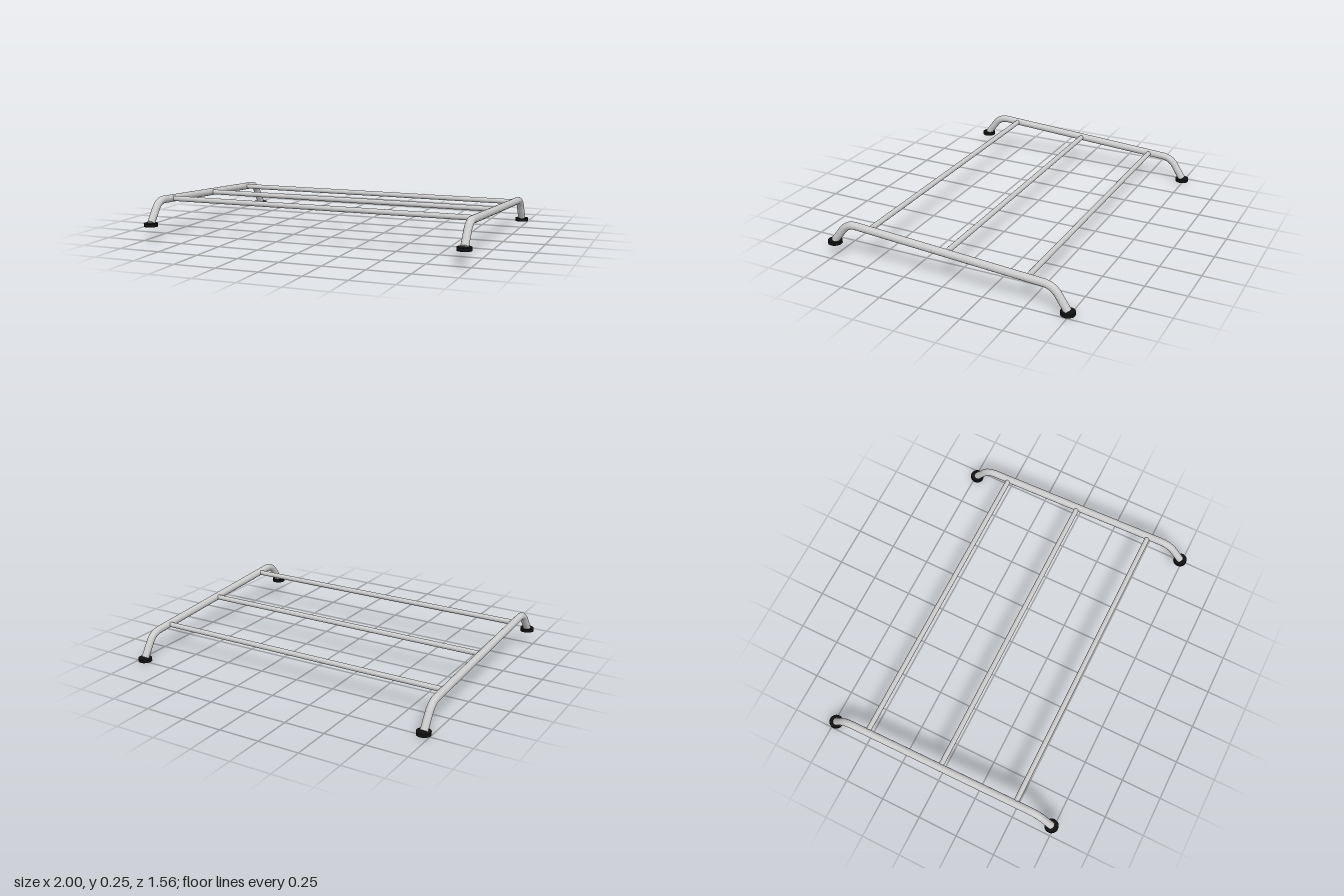
import * as THREE from 'three';

const RAIL_X = 0.958, RAIL_R = 0.0228, BAR_R = 0.016;
const FOOT_R = 0.042, FOOT_H = 0.02, FOOT_Z = 0.738;

// Side rail centre line: end, corner, corner, end (x = 0 plane)
const point = (y, z) => new THREE.Vector3(0, y, z);
const frontEnd = point(0.107, 0.736), frontCorner = point(0.23, 0.642);
const backCorner = point(0.153, -0.65), backEnd = point(0.02, -0.736);

// Points of a circular fillet at corner b, starting and ending t away from it
function fillet(a, b, c, t, steps = 10) {
  const u = a.clone().sub(b).normalize(), v = c.clone().sub(b).normalize();
  const half = u.angleTo(v) / 2;
  const radius = t * Math.tan(half), sweep = Math.PI / 2 - half;
  const axis = u.clone().add(v).normalize();
  const side = v.clone().sub(u).normalize();
  const centre = b.clone().addScaledVector(axis, t / Math.cos(half));
  return Array.from({ length: steps + 1 }, (_, i) => {
    const angle = sweep * (2 * i / steps - 1);
    return centre.clone()
      .addScaledVector(axis, -radius * Math.cos(angle))
      .addScaledVector(side, radius * Math.sin(angle));
  });
}

function railCurve() {
  const points = [
    frontEnd,
    ...fillet(frontEnd, frontCorner, backCorner, 0.055),
    ...fillet(frontCorner, backCorner, backEnd, 0.055),
    backEnd,
  ];
  const path = new THREE.CurvePath();
  for (let i = 1; i < points.length; i++) path.add(new THREE.LineCurve3(points[i - 1], points[i]));
  return path;
}

export function createModel() {
  const model = new THREE.Group();
  model.name = 'rack';
  const metal = new THREE.MeshStandardMaterial({ color: 0xcccccc });
  const rubber = new THREE.MeshStandardMaterial({ color: 0x111111 });

  const curve = railCurve();
  const railGeometry = new THREE.TubeGeometry(curve, 160, RAIL_R, 24);
  const capGeometry = new THREE.CircleGeometry(RAIL_R, 24);
  const footGeometry = new THREE.CylinderGeometry(FOOT_R, FOOT_R, FOOT_H, 32);
  const barGeometry = new THREE.CylinderGeometry(BAR_R, BAR_R, 2 * (RAIL_X - 0.008), 20);

  for (const side of [1, -1]) {
    const assembly = new THREE.Group();
    assembly.name = side > 0 ? 'leftSide' : 'rightSide';
    assembly.position.x = side * RAIL_X;

    // Bent tubular rail with its two closed ends
    const rail = new THREE.Mesh(railGeometry, metal);
    rail.name = 'sideRail';
    assembly.add(rail);
    for (const [end, corner] of [[frontEnd, frontCorner], [backEnd, backCorner]]) {
      const cap = new THREE.Mesh(capGeometry, metal);
      cap.name = 'railEndCap';
      cap.position.copy(end);
      cap.quaternion.setFromUnitVectors(new THREE.Vector3(0, 0, 1), end.clone().sub(corner).normalize());
      assembly.add(cap);
    }

    // Flat round foot pads, front pair raised above the back pair
    for (const [name, y, z] of [['frontFoot', 0.097, FOOT_Z], ['backFoot', FOOT_H / 2, -FOOT_Z]]) {
      const foot = new THREE.Mesh(footGeometry, rubber);
      foot.name = name;
      foot.position.set(0, y, z);
      assembly.add(foot);
    }
    model.add(assembly);
  }

  // Cross bars running between the rails, following their slope
  for (const [name, z] of [['frontBar', 0.497], ['middleBar', 0], ['backBar', -0.497]]) {
    const t = (frontCorner.z - z) / (frontCorner.z - backCorner.z);
    const bar = new THREE.Mesh(barGeometry, metal);
    bar.name = name;
    bar.rotation.z = Math.PI / 2;
    bar.position.lerpVectors(frontCorner, backCorner, t);
    model.add(bar);
  }
  return model;
}
